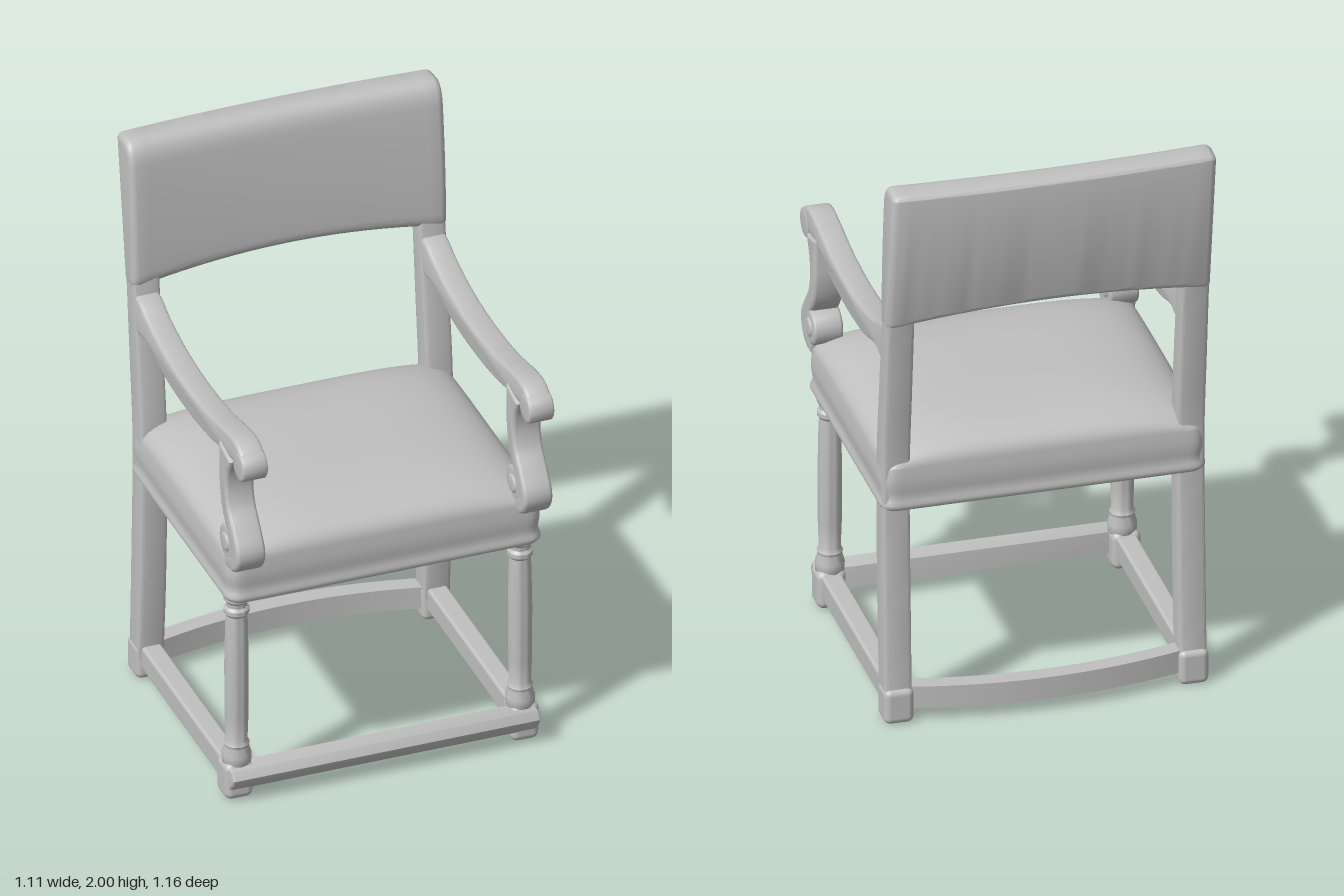
import * as THREE from 'three';
import { toCreasedNormals, mergeVertices } from 'three/addons/utils/BufferGeometryUtils.js';
import { RoundedBoxGeometry } from 'three/addons/geometries/RoundedBoxGeometry.js';

const grey = new THREE.MeshStandardMaterial({ color: 0xc0c0c0 });
grey.name = 'plain grey';

function mesh(name, geometry, x = 0, y = 0, z = 0) {
  const m = new THREE.Mesh(geometry, grey);
  m.name = name;
  m.position.set(x, y, z);
  return m;
}

// Extrude a side profile (z, y) across x, centred on x = 0, with eased edges.
function sideExtrude(shape, width, bevel = 0.012, steps = 1) {
  const g = new THREE.ExtrudeGeometry(shape, {
    depth: width - 2 * bevel, steps, bevelEnabled: true, bevelSize: bevel,
    bevelThickness: bevel, bevelOffset: -bevel, bevelSegments: 3, curveSegments: 8,
  });
  g.translate(0, 0, -(width - 2 * bevel) / 2);
  g.rotateY(-Math.PI / 2);
  return g;
}

// Outline of a band following a smooth line; points are [z, y, thickness].
function ribbon(points, n = 36) {
  const curve = new THREE.CatmullRomCurve3(points.map(p => new THREE.Vector3(...p)), false, 'centripetal');
  const left = [], right = [];
  for (let i = 0; i <= n; i++) {
    const p = curve.getPoint(i / n), t = curve.getTangent(i / n);
    const k = p.z / 2 / Math.hypot(t.x, t.y);
    left.push(new THREE.Vector2(p.x - t.y * k, p.y + t.x * k));
    right.push(new THREE.Vector2(p.x + t.y * k, p.y - t.x * k));
  }
  return new THREE.Shape([...right, ...left.reverse()]);
}

const band = (points, width) => toCreasedNormals(sideExtrude(ribbon(points), width), 0.6);

function deform(g, rule) {
  const p = g.attributes.position, v = new THREE.Vector3();
  for (let i = 0; i < p.count; i++) {
    rule(v.fromBufferAttribute(p, i));
    p.setXYZ(i, v.x, v.y, v.z);
  }
  g.deleteAttribute('uv');
  g.deleteAttribute('normal');
  return toCreasedNormals(mergeVertices(g, 1e-5), 0.7);
}

// Upholstered seat: rounded plan, welted skirt and domed top.
function seatGeometry() {
  const dome = t => Math.sqrt(Math.max(0, 1 - t ** 4));
  const skirt = new THREE.SplineCurve([[0.985, 0.775], [1, 0.79], [0.985, 0.82], [0.995, 0.87], [0.985, 0.925]]
    .map(p => new THREE.Vector2(...p)));
  return deform(new THREE.BoxGeometry(2, 1, 2, 40, 10, 40), v => {
    const s = skirt.getPoint(v.y + 0.5), top = v.y > 0.499;
    const sx = Math.sin(v.x * Math.PI / 2), sz = Math.sin(v.z * Math.PI / 2);
    let x = sx * 0.55, z = sz * 0.46;
    const r = 0.05, dx = Math.abs(x) - 0.55 + r, dz = Math.abs(z) - 0.46 + r;
    if (dx > 0 && dz > 0) {
      const k = Math.max(dx, dz) / Math.hypot(dx, dz);
      x = Math.sign(x) * (0.55 - r + dx * k);
      z = Math.sign(z) * (0.46 - r + dz * k);
    }
    v.set(x * s.x, top ? 0.925 + 0.112 * dome(sx) * dome(sz) : s.y, z * s.x + 0.012);
  });
}

// Padded back panel: side profile swept across, bowed backwards, arched below.
function backGeometry() {
  const s = new THREE.Shape();
  s.moveTo(-0.42, 1.47);
  s.quadraticCurveTo(-0.4, 1.475, -0.4, 1.52);
  s.quadraticCurveTo(-0.405, 1.72, -0.43, 1.92);
  s.quadraticCurveTo(-0.44, 1.995, -0.49, 2.0);
  s.lineTo(-0.545, 1.995);
  s.quadraticCurveTo(-0.565, 1.99, -0.563, 1.97);
  s.lineTo(-0.49, 1.49);
  s.quadraticCurveTo(-0.487, 1.47, -0.475, 1.47);
  return deform(sideExtrude(s, 1.094, 0.022, 28), v => {
    const bow = 1 - (v.x / 0.547) ** 2;
    v.z -= 0.019 * bow;
    v.y += 0.045 * bow * Math.max(0, (2 - v.y) / 0.53) ** 2;
  });
}

// Turned front leg with rings at both ends.
function frontLegGeometry() {
  const profile = [[0.03, 0.1], [0.048, 0.13], [0.049, 0.16], [0.04, 0.19], [0.043, 0.2], [0.036, 0.215],
    [0.039, 0.3], [0.04, 0.5], [0.037, 0.66], [0.035, 0.69], [0.042, 0.7], [0.042, 0.715],
    [0.034, 0.725], [0.035, 0.74], [0.043, 0.75], [0.044, 0.79]];
  return toCreasedNormals(new THREE.LatheGeometry(profile.map(p => new THREE.Vector2(...p)), 28), 0.6);
}

// Rear stretcher bowing backwards.
function backStretcherGeometry() {
  return deform(new THREE.BoxGeometry(0.96, 0.08, 0.06, 24, 1, 1), v => {
    v.z -= 0.065 * (1 - (v.x / 0.48) ** 2);
  });
}

export function createModel() {
  const chair = new THREE.Group();
  chair.name = 'armchair';
  chair.add(mesh('seat', seatGeometry()), mesh('backrest', backGeometry()));

  // Stretchers joining the legs across the chair
  const nose = new THREE.Shape([[0.385, 0.05], [0.435, 0.045], [0.465, 0.08], [0.474, 0.1], [0.458, 0.128], [0.39, 0.125]]
    .map(p => new THREE.Vector2(...p)));
  chair.add(mesh('frontStretcher', toCreasedNormals(sideExtrude(nose, 1.07, 0.008), 0.6)));
  chair.add(mesh('backStretcher', backStretcherGeometry(), 0, 0.083, -0.41));

  const postGeometry = band([[-0.42, 0.01, 0.09], [-0.41, 0.12, 0.09], [-0.394, 0.4, 0.098], [-0.383, 0.78, 0.095],
    [-0.386, 0.96, 0.094], [-0.412, 1.2, 0.09], [-0.455, 1.56, 0.075]], 0.092);
  const armGeometry = band([[-0.43, 1.385, 0.14], [-0.375, 1.38, 0.125], [-0.31, 1.372, 0.087], [-0.2, 1.345, 0.088],
    [-0.08, 1.329, 0.088], [0.08, 1.326, 0.086], [0.25, 1.338, 0.085], [0.4, 1.365, 0.085],
    [0.49, 1.373, 0.085], [0.54, 1.35, 0.075]], 0.085);
  const supportGeometry = band([[0.425, 1.34, 0.11], [0.41, 1.27, 0.075], [0.407, 1.2, 0.064], [0.427, 1.125, 0.064],
    [0.48, 1.055, 0.064], [0.515, 0.995, 0.065], [0.49, 0.95, 0.06], [0.42, 0.935, 0.05]], 0.1);
  const scroll = (r, w) => {
    const s = new THREE.Shape();
    s.absarc(0, 0, r, 0, Math.PI * 2);
    return toCreasedNormals(sideExtrude(s, w, 0.01), 0.6);
  };

  // Parts repeated on both sides
  for (const side of [1, -1]) {
    const half = new THREE.Group();
    half.name = side > 0 ? 'leftSide' : 'rightSide';
    const x = side * 0.497;
    half.add(
      mesh('frontLeg', frontLegGeometry(), side * 0.493, 0, 0.39),
      mesh('frontFoot', new RoundedBoxGeometry(0.098, 0.135, 0.1, 3, 0.025), x, 0.072, 0.388),
      mesh('backPost', postGeometry, x, 0, 0),
      mesh('backFoot', new RoundedBoxGeometry(0.1, 0.125, 0.102, 3, 0.022), x, 0.0625, -0.418),
      mesh('sideStretcher', new RoundedBoxGeometry(0.07, 0.085, 0.8, 3, 0.012), x, 0.084, -0.02),
      mesh('armrest', armGeometry, side * 0.498, 0, 0),
      mesh('armScroll', scroll(0.052, 0.088), side * 0.498, 1.342, 0.53),
      mesh('armSupport', supportGeometry, side * 0.499, 0, 0),
      mesh('supportScroll', scroll(0.062, 0.1), side * 0.499, 1.005, 0.437),
      mesh('supportScrollEye', scroll(0.034, 0.114), side * 0.499, 1.005, 0.437),
    );
    chair.add(half);
  }
  return chair;
}
